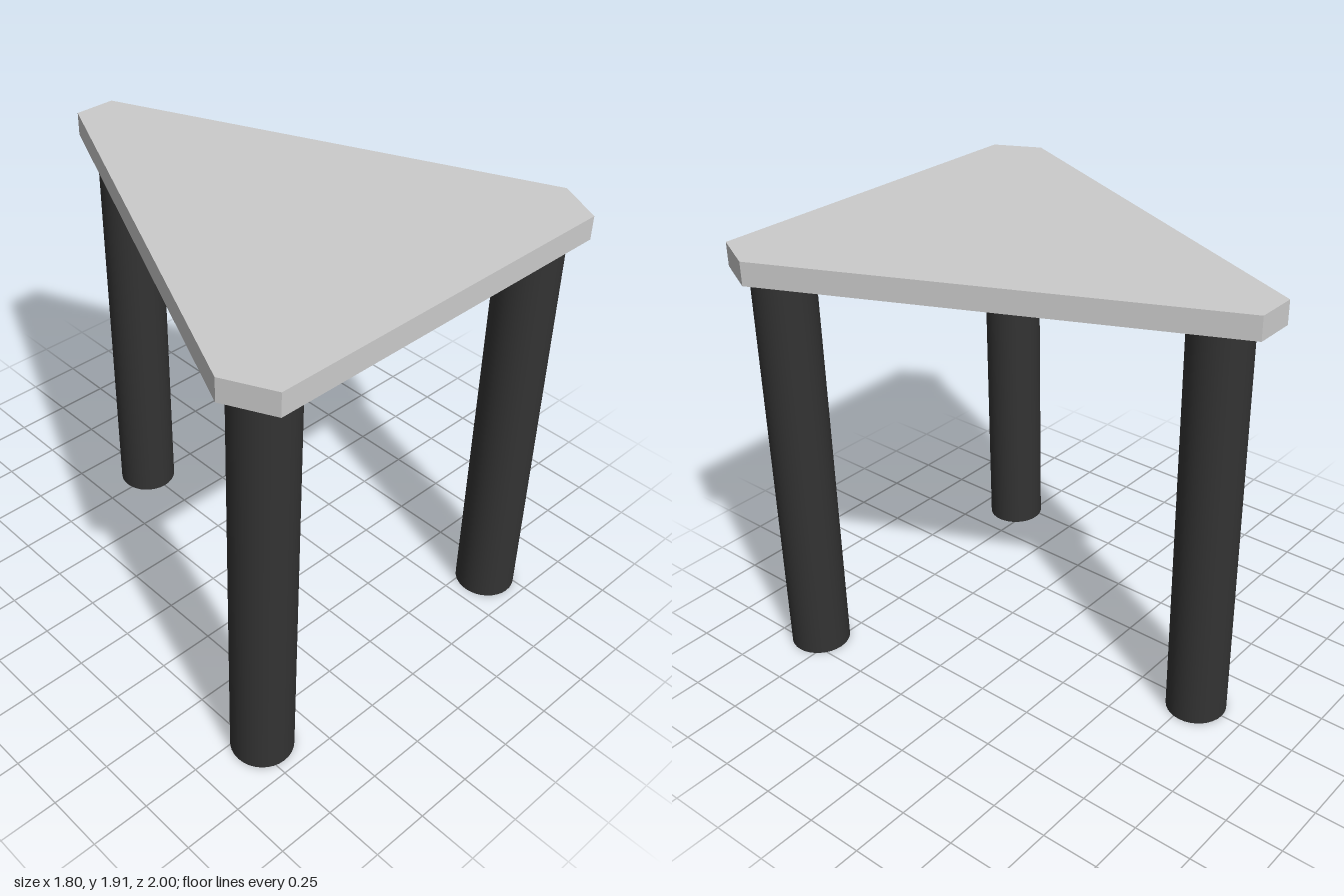
import * as THREE from 'three';

const HEIGHT = 1.91;
const THICKNESS = 0.1;
const LEG_HEIGHT = HEIGHT - THICKNESS;

export function createModel() {
  const table = new THREE.Group();
  table.name = 'table';
  const grey = new THREE.MeshStandardMaterial({ color: 0xcccccc });
  const black = new THREE.MeshStandardMaterial({ color: 0x333333 });

  // Triangular top with clipped corners, outlined in x and z
  const outline = [[-0.09, -1], [0.09, -1], [0.9, 0.8], [0.8, 1], [-0.8, 1], [-0.9, 0.8]];
  const shape = new THREE.Shape(outline.map(([x, z]) => new THREE.Vector2(x, z)));
  const topGeometry = new THREE.ExtrudeGeometry(shape, { depth: THICKNESS, bevelEnabled: false });
  topGeometry.rotateX(Math.PI / 2).translate(0, HEIGHT, 0);
  const top = new THREE.Mesh(topGeometry, grey);
  top.name = 'tabletop';
  table.add(top);

  // Three round legs, one under each corner
  const legGeometry = new THREE.CylinderGeometry(0.13, 0.13, LEG_HEIGHT, 32);
  const legs = [['frontRightLeg', -0.71, 0.825], ['frontLeftLeg', 0.68, 0.825], ['backLeg', 0, -0.78]];
  for (const [name, x, z] of legs) {
    const leg = new THREE.Mesh(legGeometry, black);
    leg.name = name;
    leg.position.set(x, LEG_HEIGHT / 2, z);
    table.add(leg);
  }
  return table;
}
